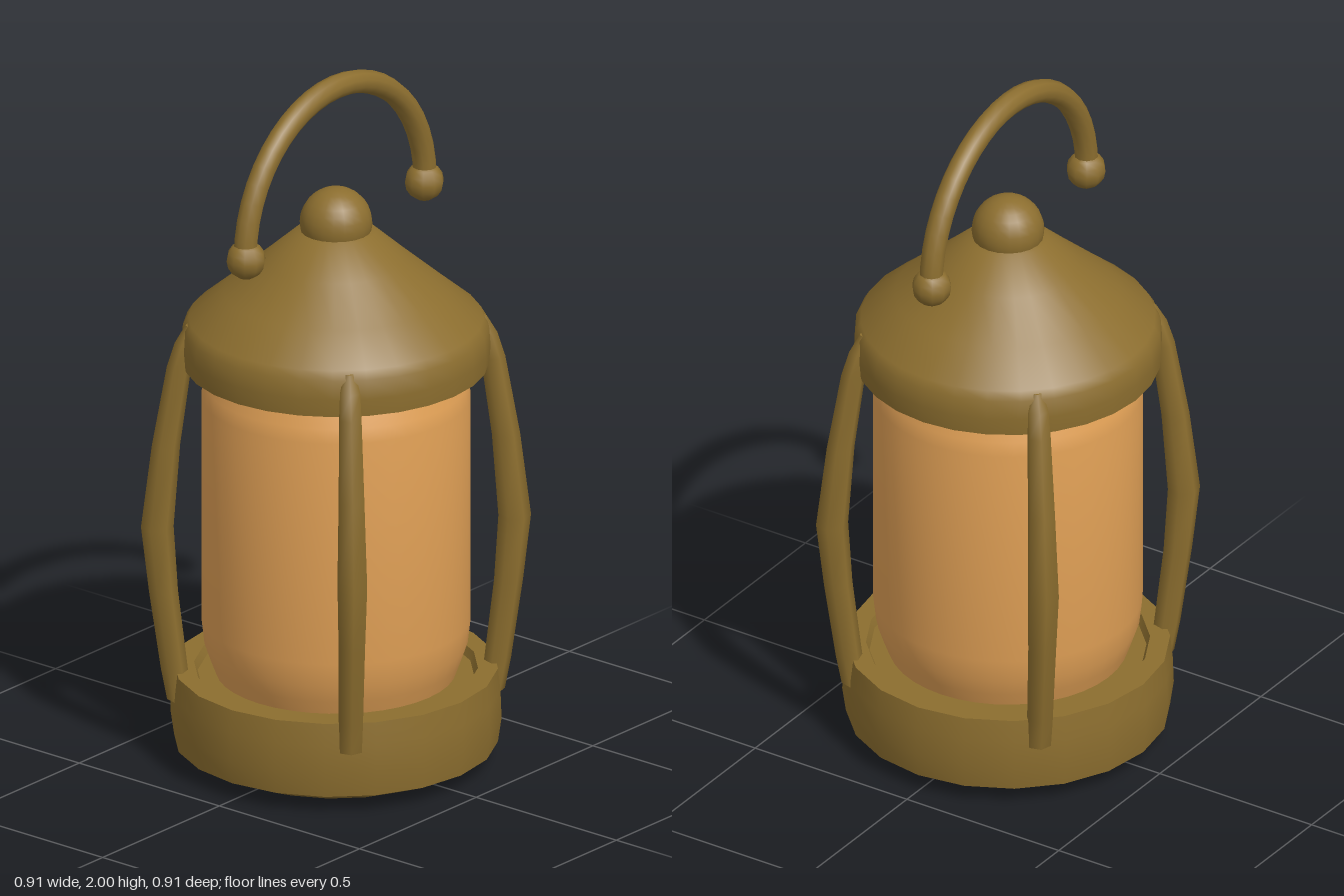
import * as THREE from 'three';
import { toCreasedNormals } from 'three/addons/utils/BufferGeometryUtils.js';

const brass = new THREE.MeshStandardMaterial({ color: 0x8c6e2f });
brass.name = 'aged brass';
const amber = new THREE.MeshStandardMaterial({ color: 0xdf9f55 });
amber.name = 'amber glass';

function addMesh(parent, name, geometry, material) {
  const mesh = new THREE.Mesh(geometry, material);
  mesh.name = name;
  parent.add(mesh);
  return mesh;
}

// Turned part from [radius, height] pairs listed bottom to top on the outside
function turned(profile, sides, crease = 0.8) {
  const points = profile.map(([r, y]) => new THREE.Vector2(r, y));
  return toCreasedNormals(new THREE.LatheGeometry(points, sides), crease);
}

// Upright bar in the z = 0 plane from [distance, height, halfWidth] sections
function bar(sections, sides) {
  const positions = [], indices = [];
  for (const [d, y, r] of sections) {
    for (let i = 0; i < sides; i++) {
      const a = (i / sides) * Math.PI * 2;
      positions.push(d + Math.cos(a) * r, y, Math.sin(a) * r);
    }
  }
  for (let j = 0; j < sections.length - 1; j++) {
    for (let i = 0; i < sides; i++) {
      const k = (i + 1) % sides;
      const a = j * sides + i, b = j * sides + k;
      indices.push(a, a + sides, b, b, a + sides, b + sides);
    }
  }
  // End caps
  const top = (sections.length - 1) * sides;
  for (let i = 1; i < sides - 1; i++) {
    indices.push(0, i, i + 1, top, top + i + 1, top + i);
  }
  const geometry = new THREE.BufferGeometry();
  geometry.setAttribute('position', new THREE.Float32BufferAttribute(positions, 3));
  geometry.setIndex(indices);
  return toCreasedNormals(geometry, 1.1);
}

export function createModel() {
  const lantern = new THREE.Group();
  lantern.name = 'lantern';

  // Base tray: dished foot, chamfered underside, recessed top
  addMesh(lantern, 'base', turned([
    [0, 0.035], [0.16, 0.03], [0.27, 0.003], [0.33, 0], [0.445, 0.05],
    [0.455, 0.12], [0.452, 0.2], [0.445, 0.265], [0.39, 0.265], [0.38, 0.24], [0, 0.24],
  ], 20), brass);

  // Glass cylinder with softened rims
  addMesh(lantern, 'glass', turned([
    [0, 0.25], [0.33, 0.25], [0.345, 0.29], [0.362, 0.34], [0.37, 0.41],
    [0.37, 1.06], [0.362, 1.1], [0.345, 1.14], [0.33, 1.2], [0, 1.2],
  ], 40), amber);

  // Conical roof with upright eave and hollow underside
  addMesh(lantern, 'roof', turned([
    [0, 1.2], [0.34, 1.2], [0.385, 1.16], [0.42, 1.16], [0.424, 1.21], [0.42, 1.265],
    [0.405, 1.29], [0.31, 1.37], [0.2, 1.465], [0.11, 1.545], [0, 1.57],
  ], 28, 0.9), brass);

  // Round finial
  const finial = addMesh(lantern, 'finial', new THREE.SphereGeometry(0.1, 20, 14), brass);
  finial.position.y = 1.57;

  // Four bowed posts on the diagonals
  const post = bar([
    [0.43, 0.18, 0.035], [0.445, 0.27, 0.037], [0.475, 0.5, 0.04], [0.492, 0.69, 0.045],
    [0.468, 0.93, 0.039], [0.432, 1.16, 0.034], [0.412, 1.23, 0.032], [0.395, 1.28, 0.02],
  ], 6);
  for (let i = 0; i < 4; i++) {
    const mesh = addMesh(lantern, 'post', post, brass);
    mesh.rotation.y = Math.PI / 4 + (i * Math.PI) / 2;
  }

  // Arched handle with a knob at each end
  const handle = new THREE.Group();
  handle.name = 'handle';
  handle.position.set(0, 1.582, -0.003);
  lantern.add(handle);
  addMesh(handle, 'handleArch', new THREE.TorusGeometry(0.385, 0.033, 10, 24, Math.PI), brass);
  for (const side of [-1, 1]) {
    const knob = addMesh(handle, 'handleKnob', new THREE.SphereGeometry(0.055, 10, 8), brass);
    knob.position.set(side * 0.382, -0.008, 0);
  }

  return lantern;
}
